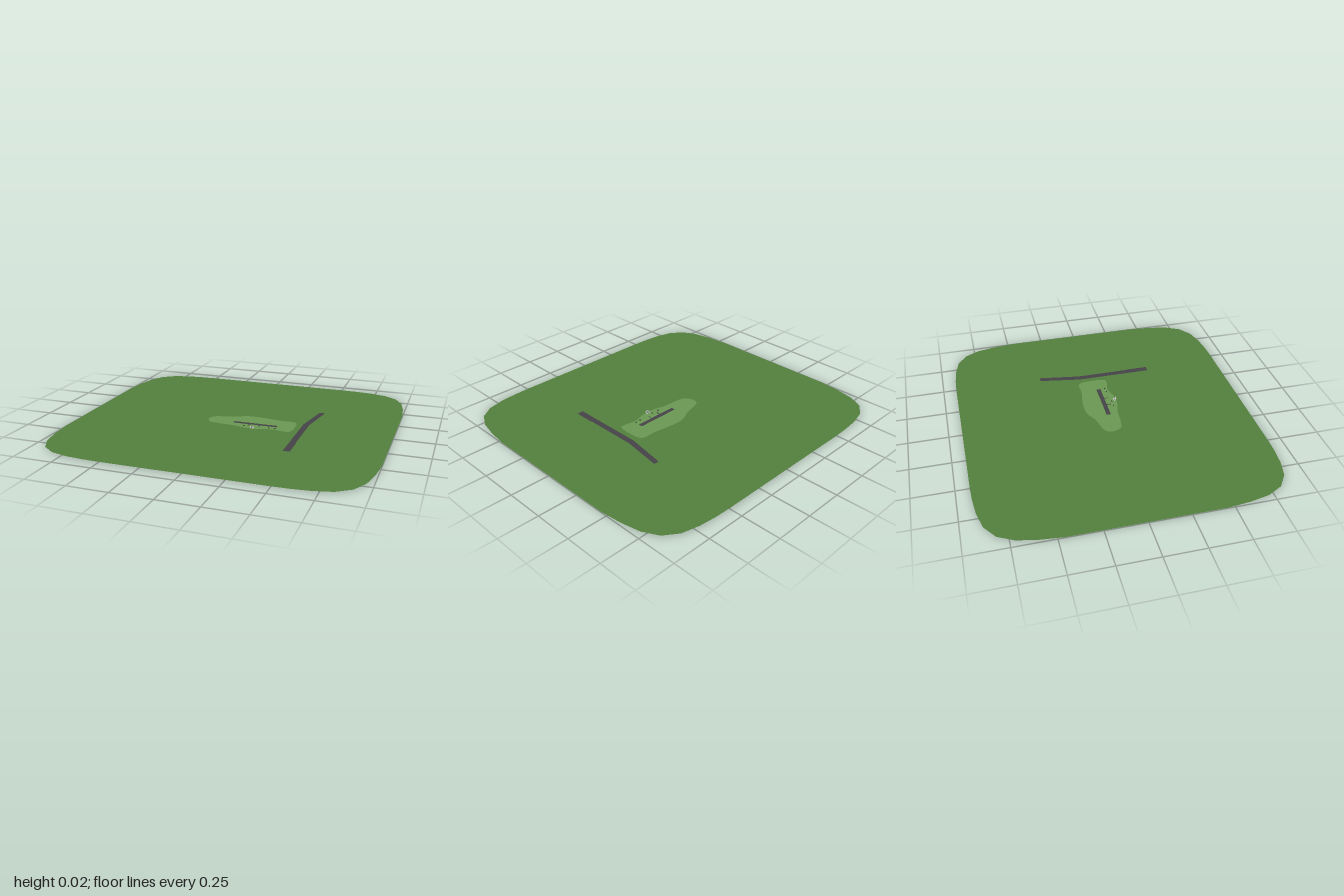
import * as THREE from 'three';

const GROUND_Y = 0.004;
const mat = (color) => new THREE.MeshStandardMaterial({ color, side: THREE.DoubleSide });
const GRASS = mat(0x52803c), FIELD = mat(0x6a9753), ASPHALT = mat(0x454347), WALL = mat(0xcccccc), DARK = mat(0x3c3c38);

// Outlines are [x, z] pairs; shapes are drawn in (x, -z) and laid flat.
const toPoints = (pairs) => pairs.map(([x, z]) => new THREE.Vector2(x, -z));

// Flat sheet, or thin slab reaching down to y = 0 when thick is given.
function sheet(name, outline, material, holes = [], thick = 0) {
  const shape = new THREE.Shape(outline);
  holes.forEach((h) => shape.holes.push(new THREE.Path(h)));
  const geo = thick
    ? new THREE.ExtrudeGeometry(shape, { depth: thick, bevelEnabled: false })
    : new THREE.ShapeGeometry(shape);
  geo.rotateX(-Math.PI / 2);
  const mesh = new THREE.Mesh(geo, material);
  mesh.name = name;
  mesh.position.y = thick ? 0 : GROUND_Y;
  return mesh;
}

function box(name, x, y, z, w, h, d, material) {
  const mesh = new THREE.Mesh(new THREE.BoxGeometry(w, h, d), material);
  mesh.name = name;
  mesh.position.set(x, y + h / 2, z);
  return mesh;
}

export function createModel() {
  const model = new THREE.Group();
  model.name = 'airfield';

  // Rounded-square ground outline, one corner mirrored to four
  const corner = [[1, 0.46], [0.985, 0.6], [0.96, 0.72], [0.91, 0.815], [0.825, 0.875], [0.715, 0.902], [0.6, 0.913], [0.5, 0.916]];
  const flip = (sx, sz) => corner.map(([x, z]) => [x * sx, z * sz]);
  const groundLine = toPoints([
    ...flip(1, 1), ...flip(-1, 1).reverse(), ...flip(-1, -1), ...flip(1, -1).reverse(),
  ]);

  // Pale clearing around the runway
  const clearing = new THREE.CatmullRomCurve3([
    [-0.19, -0.015], [-0.17, -0.04], [-0.115, -0.058], [-0.045, -0.075], [0.0, -0.1], [0.045, -0.116],
    [0.1, -0.117], [0.18, -0.11], [0.27, -0.096], [0.35, -0.096], [0.374, -0.08], [0.384, -0.03],
    [0.382, 0.07], [0.37, 0.095], [0.33, 0.096], [0.28, 0.085], [0.24, 0.088], [0.16, 0.11],
    [0.08, 0.106], [0, 0.087], [-0.1, 0.08], [-0.165, 0.066], [-0.188, 0.03],
  ].map(([x, z]) => new THREE.Vector3(x, -z, 0)), true)
    .getPoints(92).slice(0, -1).map((p) => new THREE.Vector2(p.x, p.y));

  // Bent road
  const road = toPoints([
    [0.468, -0.342], [0.503, -0.342], [0.461, -0.075], [0.461, 0.27],
    [0.465, 0.275], [0.465, 0.415], [0.422, 0.415], [0.422, -0.075],
  ]);

  // Runway with two narrow taxiways
  const runway = toPoints([
    [-0.016, 0.009], [0.276, 0.009], [0.276, 0.037], [0.168, 0.037], [0.168, 0.064], [0.162, 0.064],
    [0.162, 0.037], [0.097, 0.037], [0.097, 0.064], [0.089, 0.064], [0.089, 0.037], [-0.016, 0.037],
  ]);

  model.add(
    sheet('ground', groundLine, GRASS, [clearing, road]),
    sheet('clearing', clearing, FIELD, [runway]),
    sheet('runway', runway, ASPHALT),
    sheet('road', road, ASPHALT, [], GROUND_Y),
  );

  // Small sheds beside the runway
  [[0.07, 0.077], [0.12, 0.077], [0.235, 0.07], [0.272, 0.066]].forEach(([x, z]) =>
    model.add(box('shed', x, GROUND_Y, z, 0.008, 0.004, 0.007, DARK)));

  // Terminal with a small roof cabin
  const terminal = new THREE.Group();
  terminal.name = 'terminal';
  terminal.add(
    box('terminalHall', 0.135, GROUND_Y, 0.099, 0.026, 0.004, 0.012, WALL),
    box('towerShaft', 0.14, GROUND_Y, 0.108, 0.006, 0.01, 0.005, WALL),
    box('towerCabin', 0.136, 0.014, 0.108, 0.026, 0.003, 0.005, WALL),
    box('terminalRoofStrip', 0.135, 0.008, 0.099, 0.018, 0.0008, 0.003, DARK),
  );
  model.add(terminal);
  return model;
}
